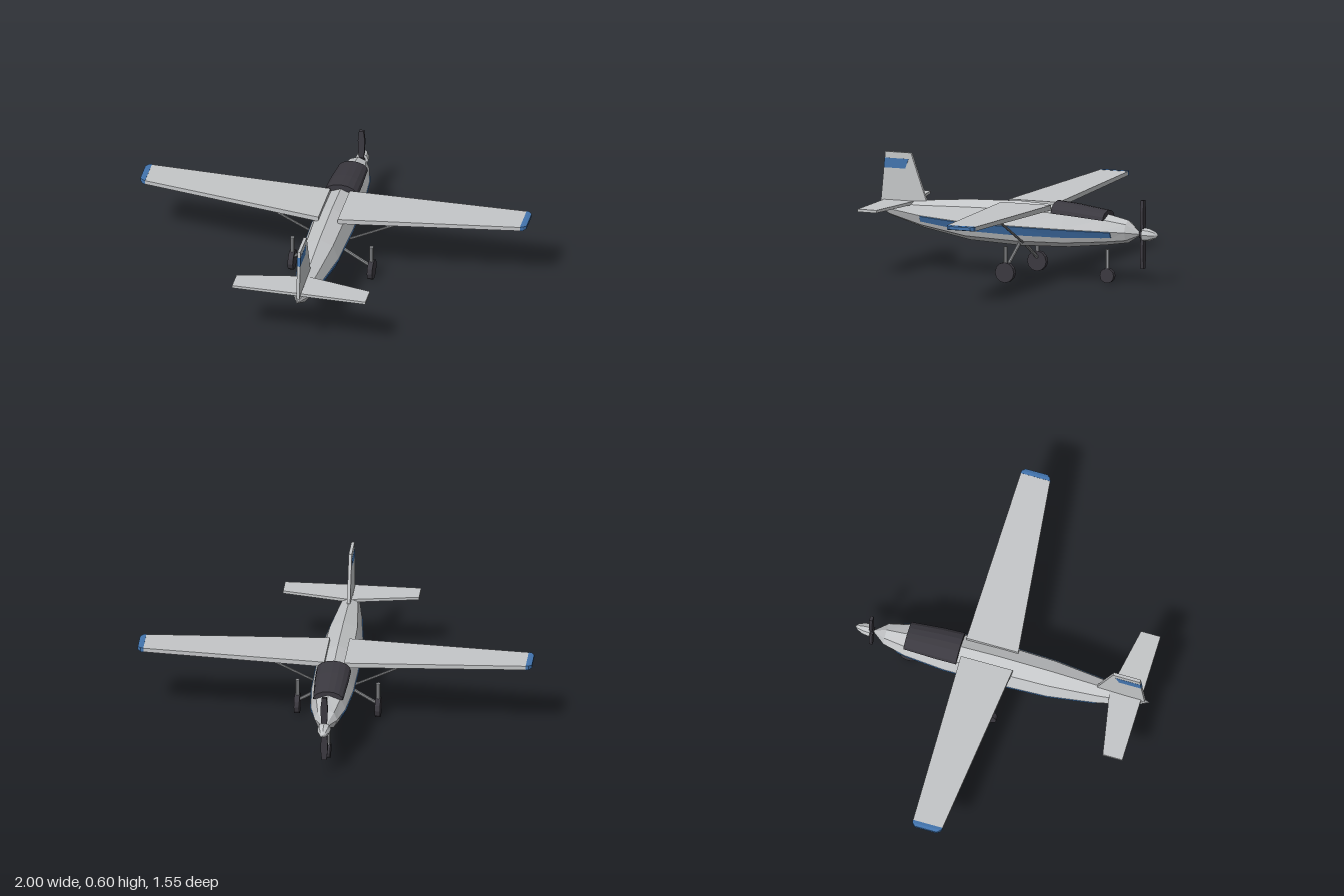
import * as THREE from 'three';

const mat = (name, color, extra = {}) => {
  const m = new THREE.MeshStandardMaterial({ color, flatShading: true, ...extra });
  m.name = name;
  return m;
};

// Closed solid through rings of equal point count; faces are turned outwards.
function loft(rings) {
  const n = rings[0].length, tris = [];
  for (let i = 0; i < rings.length - 1; i++) {
    for (let j = 0; j < n; j++) {
      const k = (j + 1) % n;
      const a = rings[i][j], b = rings[i][k], c = rings[i + 1][k], d = rings[i + 1][j];
      tris.push([a, b, c], [a, c, d]);
    }
  }
  const first = rings[0], last = rings[rings.length - 1];
  for (let j = 1; j < n - 1; j++) {
    tris.push([first[0], first[j + 1], first[j]], [last[0], last[j], last[j + 1]]);
  }
  const vec = (p) => new THREE.Vector3(...p);
  let volume = 0;
  for (const [a, b, c] of tris) volume += vec(a).dot(vec(b).cross(vec(c)));
  const pos = tris.flatMap((t) => (volume < 0 ? [t[0], t[2], t[1]] : t)).flat();
  const g = new THREE.BufferGeometry();
  g.setAttribute('position', new THREE.Float32BufferAttribute(pos, 3));
  g.computeVertexNormals();
  return g;
}

// Fuselage stations: z, centre height, half height, half width
const STATIONS = [
  [0.772, 0.32, 0.001, 0.001], [0.695, 0.31, 0.037, 0.033], [0.512, 0.29, 0.07, 0.066],
  [0.26, 0.277, 0.104, 0.098], [-0.02, 0.276, 0.114, 0.108], [-0.284, 0.275, 0.104, 0.106],
  [-0.49, 0.274, 0.08, 0.088], [-0.61, 0.27, 0.058, 0.058], [-0.68, 0.259, 0.002, 0.002],
];

function stationAt(z) {
  let i = 0;
  while (i < STATIONS.length - 2 && STATIONS[i + 1][0] > z) i++;
  const a = STATIONS[i], b = STATIONS[i + 1], t = (z - a[0]) / (b[0] - a[0]);
  return a.map((v, k) => v + (b[k] - v) * t);
}

export function createModel() {
  const group = new THREE.Group();
  const body = mat('light grey', 0xc4c6c8);
  const blue = mat('blue', 0x4274ae);
  const dark = mat('charcoal', 0x3b3940);
  const metal = mat('strut grey', 0x96989b);

  const add = (name, geometry, material) => {
    const m = new THREE.Mesh(geometry, material);
    m.name = name;
    group.add(m);
    return m;
  };
  const rod = (name, a, b, r, material = metal) => {
    const p = new THREE.Vector3(...a), q = new THREE.Vector3(...b), d = q.clone().sub(p);
    const m = add(name, new THREE.CylinderGeometry(r, r, d.length(), 8), material);
    m.position.copy(p).add(q).multiplyScalar(0.5);
    m.quaternion.setFromUnitVectors(new THREE.Vector3(0, 1, 0), d.normalize());
  };
  const wheel = (name, x, y, z, r, w) => {
    const m = add(name, new THREE.CylinderGeometry(r, r, w, 12), dark);
    m.rotation.z = Math.PI / 2;
    m.position.set(x, y, z);
  };
  // Rectangular section across a wing, from leading to trailing edge
  const rib = (x, z0, z1, y0, y1) => [[x, y0, z0], [x, y1, z0], [x, y1, z1], [x, y0, z1]];

  // Eight-sided fuselage with a ridge on top and a keel below
  add('fuselage', loft(STATIONS.map(([z, cy, ry, rx]) =>
    Array.from({ length: 8 }, (_, i) => {
      const a = (i * Math.PI) / 4;
      return [rx * Math.cos(a), cy + ry * Math.sin(a), z];
    }))), body);

  // Arched canopy: z, base height, rise, half width
  const canopy = [[-0.22, 0.35, 0.055, 0.088], [-0.33, 0.343, 0.052, 0.086], [-0.5, 0.328, 0.043, 0.076]];
  add('canopy', loft(canopy.map(([z, y, h, w]) =>
    Array.from({ length: 9 }, (_, i) => {
      const a = (i * Math.PI) / 8;
      return [w * Math.cos(a), y + h * Math.sin(a), z];
    }))), dark);

  // Spinner and propeller
  const spinner = add('spinner', new THREE.LatheGeometry(
    [[0, 0], [0.035, 0], [0.031, 0.035], [0.018, 0.066], [0, 0.082]].map((p) => new THREE.Vector2(...p)), 8), body);
  spinner.rotation.x = -Math.PI / 2;
  spinner.position.set(0, 0.26, -0.692);
  rod('propellerHub', [0, 0.26, -0.675], [0, 0.26, -0.7], 0.02, dark);
  for (const s of [1, -1]) {
    const blade = [[0, 0.01], [0.05, 0.016], [0.12, 0.018], [0.175, 0.012]];
    add('propellerBlade', loft(blade.map(([r, w]) => [
      [-w, 0.26 + s * r, -0.698], [w, 0.26 + s * r, -0.698],
      [w, 0.26 + s * r, -0.681], [-w, 0.26 + s * r, -0.681]])), dark);
  }

  for (const s of [1, -1]) {
    // High wing with coloured tip
    add('wing', loft([rib(s * 0.05, -0.205, 0.068, 0.36, 0.386),
      rib(s * 0.97, -0.188, -0.033, 0.387, 0.408)]), body);
    add('wingTip', loft([rib(s * 0.97, -0.189, -0.032, 0.386, 0.409),
      rib(s * 0.985, -0.186, -0.038, 0.387, 0.41), rib(s, -0.17, -0.055, 0.391, 0.407)]), blue);
    rod('wingStrut', [s * 0.085, 0.193, -0.065], [s * 0.455, 0.374, -0.07], 0.0065);

    // Tailplane
    add('tailplane', loft([rib(s * 0.01, 0.565, 0.73, 0.336, 0.352),
      rib(s * 0.345, 0.627, 0.73, 0.336, 0.35)]), body);

    // Side stripe laid on the upper half of the lower side facet
    const stripe = [0.51, 0.26, -0.02, -0.284, -0.49, -0.54].map((z) => {
      const [, cy, ry, rx] = stationAt(z);
      const at = (t, out) => [
        s * (rx * (1 - t * (1 - Math.SQRT1_2)) + out), cy - ry * Math.SQRT1_2 * t - out * 0.4, z];
      return [at(0.03, 0.005), at(0.58, 0.005), at(0.58, -0.002), at(0.03, -0.002)];
    });
    add('sideStripe', loft(stripe), blue);

    // Main landing gear
    wheel('mainWheel', s * 0.205, 0.054, -0.022, 0.052, 0.027);
    rod('mainGearPost', [s * 0.205, 0.05, -0.022], [s * 0.205, 0.187, -0.022], 0.011);
    rod('mainGearLeg', [s * 0.03, 0.174, -0.022], [s * 0.2, 0.073, -0.022], 0.009);
  }

  // Fin with a thin painted band
  const finRing = (x, pts) => pts.map(([z, y]) => [x, y, z]);
  const fin = [[0.749, 0.33], [0.724, 0.597], [0.583, 0.597], [0.496, 0.35]];
  add('fin', loft([finRing(-0.008, fin), finRing(0.008, fin)]), body);
  const band = [[0.732, 0.515], [0.727, 0.565], [0.596, 0.565], [0.614, 0.515]];
  add('finBand', loft([finRing(-0.0086, band), finRing(0.0086, band)]), blue);

  // Nose landing gear
  wheel('noseWheel', 0, 0.038, -0.495, 0.038, 0.025);
  rod('noseGearPost', [0, 0.04, -0.495], [0, 0.172, -0.495], 0.011);

  return group;
}
